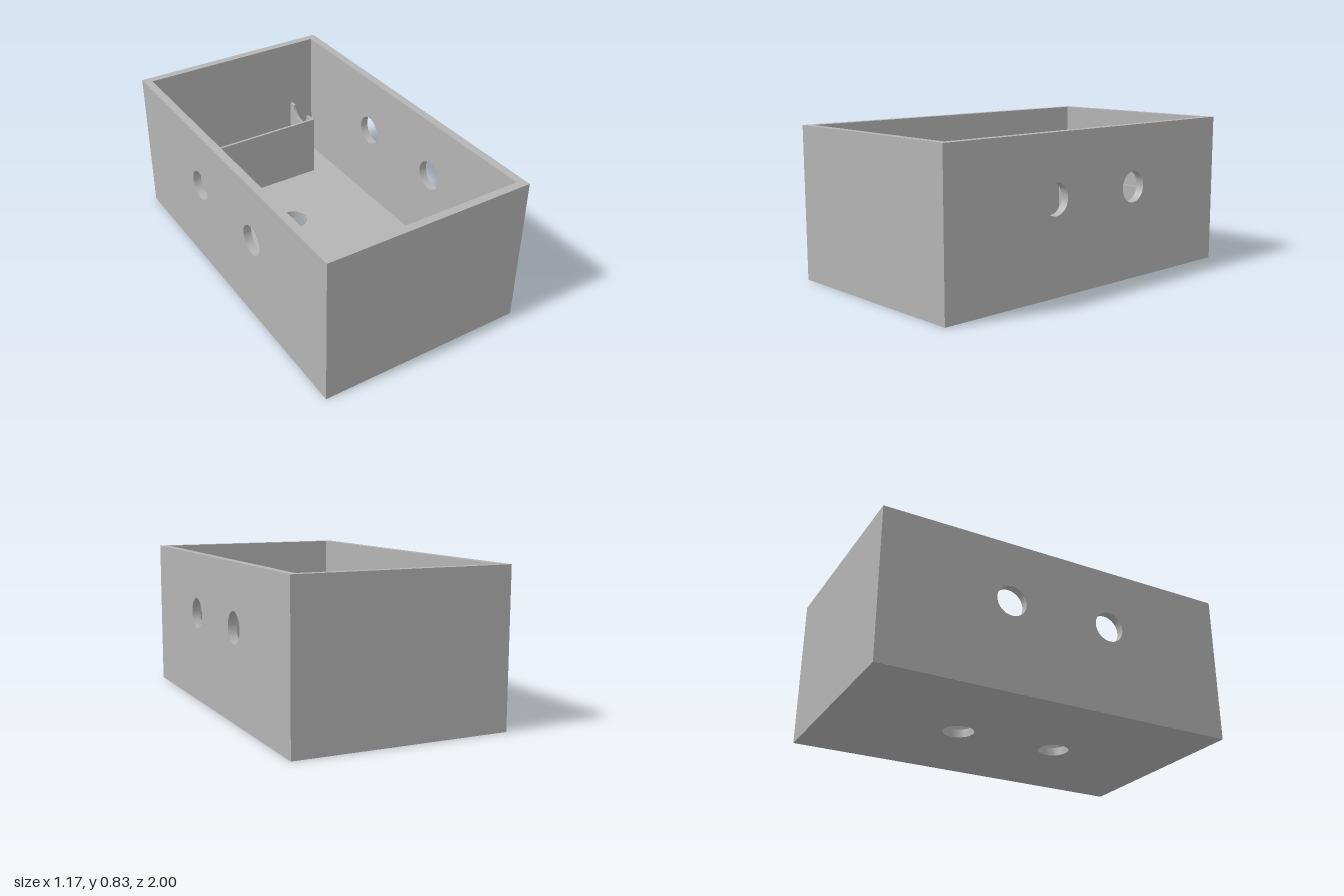
import * as THREE from 'three';

const W = 1.166, H = 0.833, L = 2, T = 0.045; // outer size and wall thickness
const HOLE_R = 0.084, HOLE_Z = 0.292, HOLE_Y = 0.5;

const grey = new THREE.MeshStandardMaterial({ color: 0xb4b4b4 });
grey.name = 'plainGrey';

function rect(x0, y0, x1, y1) {
  return new THREE.Shape([[x0, y0], [x1, y0], [x1, y1], [x0, y1]].map(p => new THREE.Vector2(...p)));
}

function addHoles(shape, y) {
  for (const s of [-1, 1]) {
    const hole = new THREE.Path();
    // horizontal spacing follows the long axis of the box
    hole.absarc(s * HOLE_Z, y, HOLE_R, 0, Math.PI * 2, true);
    shape.holes.push(hole);
  }
  return shape;
}

// Flat panel centred on its thickness
function panel(shape, depth) {
  const g = new THREE.ExtrudeGeometry(shape, { depth, bevelEnabled: false, curveSegments: 32 });
  return g.translate(0, 0, -depth / 2);
}

export function createModel() {
  const model = new THREE.Group();
  model.name = 'openBox';
  const add = (name, geometry, x, y, z) => {
    const mesh = new THREE.Mesh(geometry, grey);
    mesh.name = name;
    mesh.position.set(x, y, z);
    model.add(mesh);
  };
  const box = (name, x0, x1, y0, y1, z0, z1) =>
    add(name, new THREE.BoxGeometry(x1 - x0, y1 - y0, z1 - z0), (x0 + x1) / 2, (y0 + y1) / 2, (z0 + z1) / 2);

  // Long side walls, each with two round holes
  for (const s of [-1, 1]) {
    const wall = panel(addHoles(rect(-L / 2, 0, L / 2, H), HOLE_Y), T).rotateY(-Math.PI / 2);
    add(s > 0 ? 'leftWall' : 'rightWall', wall, s * (W / 2 - T / 2), 0, 0);
  }

  // Short end walls
  const inX = W / 2 - T, inZ = L / 2 - T;
  box('frontWall', -inX, inX, 0, H, inZ, L / 2);
  box('backWall', -inX, inX, 0, H, -L / 2, -inZ);

  // Floor with two drain holes
  const floor = panel(addHoles(rect(-inZ, -inX, inZ, inX), 0), T).rotateX(-Math.PI / 2).rotateY(Math.PI / 2);
  add('floor', floor, 0, T / 2, 0);

  // Thin open compartment against the back wall
  const px0 = -0.353, px1 = 0.395, pz = -0.69, top = 0.423, t = 0.015;
  box('compartmentFront', px0, px1, T, top, pz - t, pz);
  box('compartmentRightSide', px0, px0 + t, T, top, -inZ, pz - t);

  // Other side of the compartment, with a round cable notch in its top edge
  const notchZ = -0.833, notchR = 0.078;
  const side = new THREE.Shape();
  side.moveTo(-inZ, T);
  side.lineTo(pz - t, T);
  side.lineTo(pz - t, top);
  side.lineTo(notchZ + notchR, top);
  side.absarc(notchZ, top, notchR, 0, Math.PI, true);
  side.lineTo(-inZ, top);
  side.closePath();
  add('compartmentLeftSide', panel(side, t).rotateY(-Math.PI / 2), px1 - t / 2, 0, 0);

  return model;
}
